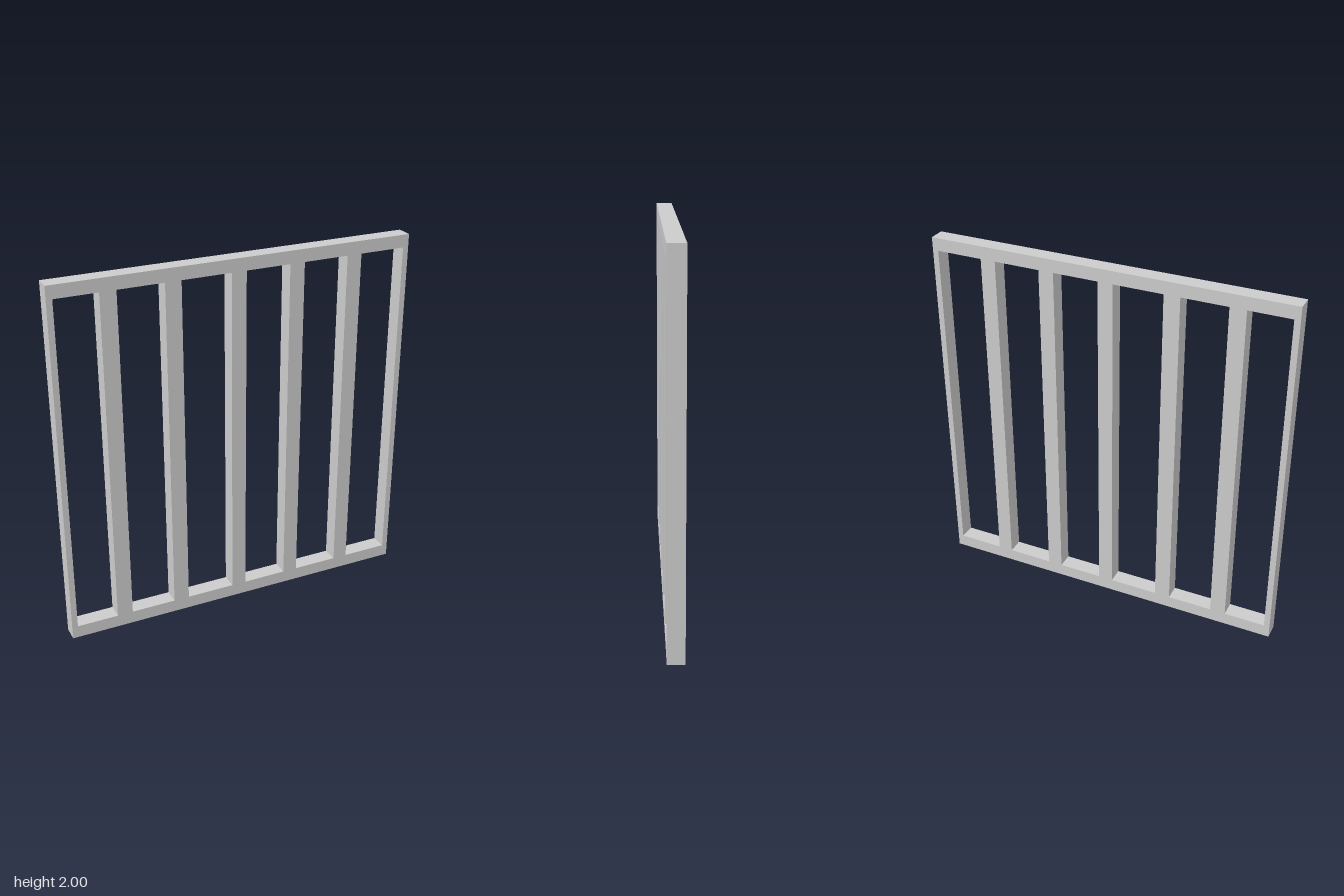
import * as THREE from 'three';

const HALF_WIDTH = 0.993, HEIGHT = 2, DEPTH = 0.09;
const OPENING_BOTTOM = 0.07, OPENING_TOP = 1.93;

// Left and right edges of the openings between the upright bars
const OPENINGS = [
  [-0.961, -0.733], [-0.646, -0.398], [-0.311, -0.041],
  [0.041, 0.287], [0.37, 0.622], [0.705, 0.961],
];

function rectangle(path, x0, y0, x1, y1) {
  path.moveTo(x0, y0);
  path.lineTo(x1, y0);
  path.lineTo(x1, y1);
  path.lineTo(x0, y1);
  path.closePath();
  return path;
}

export function createModel() {
  const group = new THREE.Group();
  group.name = 'barredFrame';

  // One flush panel: outer frame and bars are what remains around the openings
  const outline = rectangle(new THREE.Shape(), -HALF_WIDTH, 0, HALF_WIDTH, HEIGHT);
  for (const [x0, x1] of OPENINGS) {
    outline.holes.push(rectangle(new THREE.Path(), x0, OPENING_BOTTOM, x1, OPENING_TOP));
  }
  const geometry = new THREE.ExtrudeGeometry(outline, { depth: DEPTH, bevelEnabled: false });
  geometry.translate(0, 0, -DEPTH / 2);

  const frame = new THREE.Mesh(geometry, new THREE.MeshStandardMaterial({ color: 0xcccccc }));
  frame.name = 'frameWithBars';
  group.add(frame);
  return group;
}
